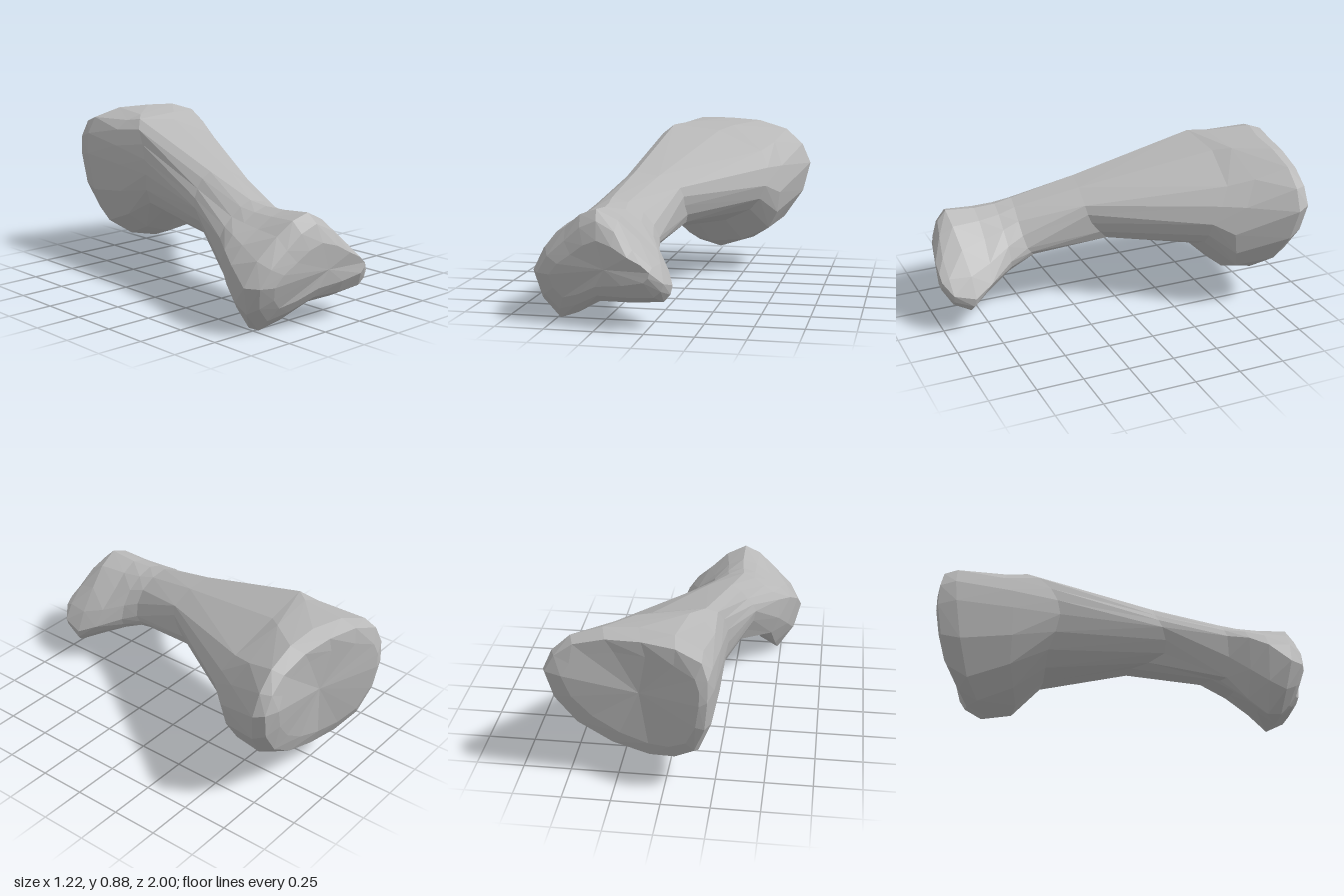
import * as THREE from 'three';

// Cross-sections of the bone, eight points each, running counterclockwise
// as seen from the front: right, upper right, top, upper left, left, lower left, bottom, lower right.
const frontJoin = [[-.03,.38,.5],[-.11,.51,.52],[-.28,.58,.5],[-.4,.51,.49],[-.49,.42,.5],[-.45,.2,.5],[-.26,.27,.47],[-.05,.33,.46]];
const rearJoin = [[.39,.53,-.4],[.35,.72,-.5],[-.17,.86,-.52],[-.25,.74,-.4],[-.27,.58,-.35],[-.2,.4,-.4],[0,.3,-.4],[.3,.39,-.4]];

// Two-lobed lower end
const frontRings = [
  [[.03,.3,1],[-.08,.37,1],[-.24,.44,.965],[-.38,.36,.93],[-.5,.25,.9],[-.44,.13,.87],[-.25,.21,.95],[0,.25,1]],
  [[.09,.24,.955],[-.06,.4,.965],[-.25,.53,.93],[-.42,.42,.9],[-.57,.25,.87],[-.47,.06,.82],[-.25,.16,.92],[.04,.17,.95]],
  [[.11,.21,.84],[-.05,.43,.86],[-.26,.58,.88],[-.43,.48,.84],[-.61,.25,.8],[-.48,.003,.77],[-.25,.12,.86],[.07,.13,.86]],
  [[.07,.26,.74],[-.09,.45,.72],[-.26,.565,.72],[-.42,.49,.7],[-.59,.34,.69],[-.48,0,.7],[-.26,.14,.73],[-.02,.17,.76]],
  [[-.01,.33,.6],[-.1,.48,.61],[-.27,.565,.6],[-.41,.5,.59],[-.55,.39,.6],[-.47,.08,.6],[-.27,.22,.6],[-.05,.26,.6]],
  frontJoin,
];

// Slender middle
const shaftRings = [
  frontJoin,
  [[.03,.49,.15],[.01,.59,.18],[-.24,.67,.15],[-.33,.59,.15],[-.375,.5,.18],[-.33,.37,.2],[-.18,.335,.05],[.02,.385,.06]],
  rearJoin,
];

// Broad upper end with a shallow hollow
const rearRings = [
  rearJoin,
  [[.46,.48,-.5],[.41,.76,-.63],[-.1,.87,-.6],[-.23,.79,-.65],[-.265,.6,-.6],[-.2,.3,-.6],[.05,.17,-.54],[.39,.26,-.55]],
  [[.605,.62,-.8],[.46,.82,-.8],[.12,.882,-.8],[-.2,.83,-.9],[-.255,.62,-.9],[-.17,.22,-.82],[.08,.112,-.7],[.46,.3,-.74]],
  [[.585,.64,-.86],[.44,.8,-.86],[.1,.85,-.89],[-.2,.8,-.97],[-.23,.6,-.995],[-.16,.28,-.92],[.08,.16,-.8],[.44,.34,-.82]],
  [[.5,.63,-.88],[.38,.75,-.86],[.08,.77,-.89],[-.17,.72,-.985],[-.19,.58,-1],[-.12,.33,-.94],[.08,.25,-.84],[.36,.39,-.84]],
];

const SIDES = 16;

// Round a section into a closed loop of SIDES points
function roundLoop(points) {
  const curve = new THREE.CatmullRomCurve3(points.map((p) => new THREE.Vector3(...p)), true);
  return Array.from({ length: SIDES }, (_, i) => curve.getPoint(i / SIDES));
}

// Skin the sections from front to back, with an optional cap at either end
function skin(rings, frontCentre, rearCentre) {
  const loops = rings.map(roundLoop);
  const vertices = [];
  const tri = (...corners) => corners.forEach((c) => vertices.push(c.x, c.y, c.z));
  // Split each quad along the diagonal that bulges outward
  const quad = (a, b, c, d) => {
    const plane = new THREE.Plane().setFromCoplanarPoints(a, b, c);
    if (plane.distanceToPoint(d) > 0) {
      tri(a, b, d);
      tri(b, c, d);
    } else {
      tri(a, b, c);
      tri(a, c, d);
    }
  };
  for (let i = 0; i < SIDES; i++) {
    const j = (i + 1) % SIDES;
    for (let r = 0; r < loops.length - 1; r++) {
      quad(loops[r][i], loops[r + 1][i], loops[r + 1][j], loops[r][j]);
    }
    if (frontCentre) tri(frontCentre, loops[0][i], loops[0][j]);
    const last = loops[loops.length - 1];
    if (rearCentre) tri(rearCentre, last[j], last[i]);
  }
  const geometry = new THREE.BufferGeometry();
  geometry.setAttribute('position', new THREE.Float32BufferAttribute(vertices, 3));
  geometry.computeVertexNormals();
  return geometry;
}

export function createModel() {
  const model = new THREE.Group();
  model.name = 'legBone';
  const bone = new THREE.MeshStandardMaterial({ color: 0xb8b8b8, flatShading: true });
  bone.name = 'boneGrey';

  const add = (name, geometry) => {
    const mesh = new THREE.Mesh(geometry, bone);
    mesh.name = name;
    model.add(mesh);
  };
  add('frontCondyles', skin(frontRings, new THREE.Vector3(-.2, .3, .97), null));
  add('shaft', skin(shaftRings, null, null));
  add('rearHead', skin(rearRings, null, new THREE.Vector3(.12, .55, -.86)));
  return model;
}
